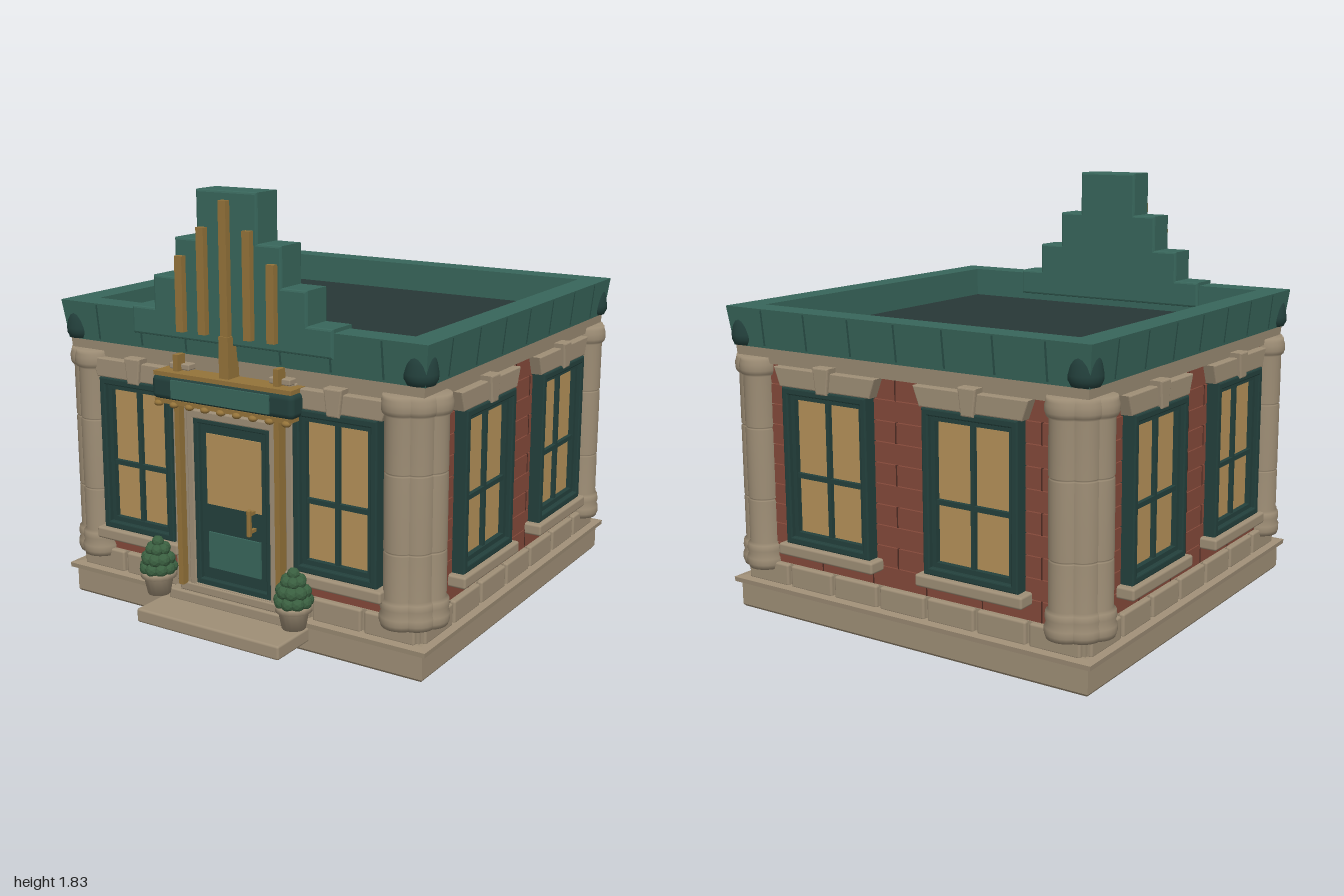
import * as THREE from 'three';
import { RoundedBoxGeometry } from 'three/addons/geometries/RoundedBoxGeometry.js';

const mat = (color, flatShading = false) => new THREE.MeshStandardMaterial({ color, flatShading });
const M = {
  stone: mat(0x9e8e76), stoneFlat: mat(0x9e8e76, true), brick: mat(0x84493a), joint: mat(0x4e2c24),
  green: mat(0x38665b), greenFlat: mat(0x38665b, true), seam: mat(0x2a5048), dark: mat(0x23403c),
  roof: mat(0x273836), glass: mat(0xb59159), gold: mat(0x94733a), leaf: mat(0x3a5f40, true),
};
const CZ = -0.085; // depth centre of the building
const WALL = 0.84; // half width of the brick walls

function add(parent, name, geo, material, x = 0, y = 0, z = 0) {
  const m = new THREE.Mesh(geo, material);
  m.name = name;
  m.position.set(x, y, z);
  parent.add(m);
  return m;
}
// Box given by its limits, optionally with rounded edges
function box(parent, name, material, x0, x1, y0, y1, z0, z1, round = 0) {
  const s = [x1 - x0, y1 - y0, z1 - z0];
  const geo = round ? new RoundedBoxGeometry(...s, 2, round) : new THREE.BoxGeometry(...s);
  return add(parent, name, geo, material, (x0 + x1) / 2, (y0 + y1) / 2, (z0 + z1) / 2);
}
// Square band swept from a profile of [half width, y]
function band(parent, name, material, pts) {
  const p = pts.map(([r, y]) => new THREE.Vector2(r * Math.SQRT2, y));
  return add(parent, name, new THREE.LatheGeometry(p, 4, Math.PI / 4), material);
}
const lathe = (pts, n = 24) => new THREE.LatheGeometry(pts.map(([r, y]) => new THREE.Vector2(r, y)), n);
function extrude(pts, depth, bevel = 0, hole = null) {
  const shape = new THREE.Shape(pts.map(p => new THREE.Vector2(...p)));
  if (hole) shape.holes.push(new THREE.Path(hole.map(p => new THREE.Vector2(...p))));
  return new THREE.ExtrudeGeometry(shape, { depth, bevelEnabled: bevel > 0, bevelSize: bevel, bevelThickness: bevel, bevelOffset: -bevel, bevelSegments: 2 });
}
const rect = (w, y0, y1) => [[-w, y0], [w, y0], [w, y1], [-w, y1]];

// Window with nested frame, glazing bars, sill, lintel and keystone
function makeWindow(x, w) {
  const g = new THREE.Group();
  g.name = 'window';
  g.position.x = x;
  add(g, 'outerFrame', extrude(rect(w, 0.345, 1.01), 0.055, 0.006, rect(w - 0.03, 0.375, 0.98)), M.dark, 0, 0, WALL - 0.005);
  add(g, 'innerFrame', extrude(rect(w - 0.028, 0.373, 0.982), 0.035, 0, rect(w - 0.05, 0.395, 0.96)), M.dark, 0, 0, WALL);
  box(g, 'glass', M.glass, -w + 0.03, w - 0.03, 0.375, 0.98, WALL - 0.01, WALL + 0.012);
  box(g, 'verticalBar', M.dark, -0.009, 0.009, 0.38, 0.97, WALL, WALL + 0.03);
  box(g, 'horizontalBar', M.dark, -w + 0.03, w - 0.03, 0.628, 0.648, WALL, WALL + 0.03);
  box(g, 'sill', M.stone, -w - 0.03, w + 0.03, 0.295, 0.345, WALL - 0.02, 0.915, 0.01);
  add(g, 'lintel', extrude([[-w - 0.015, 1.01], [w + 0.015, 1.01], [w + 0.045, 1.09], [-w - 0.045, 1.09]], 0.055, 0.005), M.stone, 0, 0, WALL - 0.01);
  add(g, 'keystone', extrude([[-0.028, 1.0], [0.028, 1.0], [0.042, 1.11], [-0.042, 1.11]], 0.07, 0.006), M.stone, 0, 0, WALL - 0.01);
  return g;
}

// One side of the building, facing local +z
function makeFacade(front) {
  const g = new THREE.Group();
  g.name = front ? 'frontFacade' : 'facade';
  const courses = 10, h = 0.86 / courses;
  for (let i = 0; i < courses; i++) {
    const y = 0.23 + i * h;
    box(g, 'brickCourse', M.brick, -0.8, 0.8, y + 0.002, y + h - 0.002, WALL - 0.03, WALL);
    if (!front) for (let x = -0.7 + (i % 2) * 0.13; x < 0.75; x += 0.27)
      box(g, 'brickJoint', M.joint, x - 0.003, x + 0.003, y, y + h, WALL - 0.01, WALL + 0.001);
  }
  for (const s of [-1, 1]) g.add(front ? makeWindow(s * 0.49, 0.19) : makeWindow(s * 0.358, 0.22));
  // Plinth stones
  for (let i = 0; i < 7; i++) {
    const x = -0.84 + i * 0.24;
    box(g, 'plinthBlock', M.stone, x + 0.008, x + 0.232, 0.135, 0.232, 0.8, 0.865, 0.01);
  }
  // Parapet seams, leaning with the parapet face
  for (let i = -3; i <= 3; i++)
    box(g, 'parapetSeam', M.seam, i * 0.23 - 0.004, i * 0.23 + 0.004, 1.165, 1.315, 0.862, 0.877).rotation.x = 0.11;
  return g;
}

// Cluster of three banded columns with a corner ornament above
function makeCorner(sx, sz) {
  const g = new THREE.Group();
  g.name = 'cornerColumns';
  const shaft = lathe([[0, 0.2], [0.078, 0.2], [0.085, 0.22], [0.085, 0.245], [0.078, 0.26], [0.083, 0.28], [0.08, 0.305], [0.07, 0.315],
    [0.07, 0.497], [0.066, 0.5], [0.066, 0.506], [0.07, 0.509], [0.07, 0.807], [0.066, 0.81], [0.066, 0.816], [0.07, 0.819],
    [0.07, 1.035], [0.08, 1.045], [0.085, 1.06], [0.085, 1.085], [0.08, 1.1], [0.078, 1.115], [0, 1.115]]);
  for (const [x, z] of [[0.755, 0.832], [0.805, 0.805], [0.832, 0.755]])
    add(g, 'column', shaft, M.stone, sx * x, 0, sz * z);
  const orn = lathe([[0, 1.155], [0.055, 1.158], [0.066, 1.18], [0.067, 1.2], [0.06, 1.24], [0.048, 1.285], [0, 1.305]], 20);
  add(g, 'cornerOrnament', orn, M.dark, sx * 0.825, 0, sz * 0.825);
  return g;
}

function makeEntrance() {
  const g = new THREE.Group();
  g.name = 'entrance';
  // Steps
  box(g, 'lowerStep', M.stone, -0.355, 0.355, 0.045, 0.105, 0.7, 1.0, 0.01);
  box(g, 'middleStep', M.stone, -0.32, 0.32, 0.1, 0.148, 0.7, 0.83, 0.008);
  box(g, 'topStep', M.stone, -0.27, 0.27, 0.145, 0.185, 0.7, 0.815, 0.008);
  // Door
  add(g, 'doorSurround', extrude(rect(0.22, 0.18, 0.935), 0.06, 0.005, rect(0.188, 0.17 + 0.02, 0.9)), M.stone, 0, 0, 0.745);
  add(g, 'doorFrame', extrude(rect(0.19, 0.185, 0.902), 0.055, 0.005, rect(0.165, 0.215, 0.88)), M.dark, 0, 0, 0.745);
  box(g, 'door', M.dark, -0.17, 0.17, 0.2, 0.89, 0.74, 0.785);
  box(g, 'doorGlass', M.glass, -0.135, 0.135, 0.54, 0.84, 0.78, 0.79);
  box(g, 'doorPanel', M.green, -0.13, 0.13, 0.265, 0.42, 0.78, 0.793);
  box(g, 'doorHandle', M.gold, 0.09, 0.108, 0.45, 0.565, 0.815, 0.835, 0.006);
  for (const y of [0.47, 0.545]) box(g, 'handleMount', M.gold, 0.092, 0.106, y - 0.007, y + 0.007, 0.78, 0.82);
  for (const s of [-1, 1]) {
    // Fluted pilaster and metal strip
    for (const [x, w, d] of [[0.25, 0.052, 0.785], [0.222, 0.016, 0.805], [0.278, 0.016, 0.805]])
      box(g, 'pilaster', M.stone, s * x - w, s * x + w, 0.18, 1.1, 0.73, d, 0.006);
    box(g, 'pilasterCapital', M.stone, s * 0.245 - 0.05, s * 0.245 + 0.05, 1.095, 1.12, 0.74, 0.815, 0.005);
    box(g, 'metalStrip', M.gold, s * 0.245 - 0.012, s * 0.245 + 0.012, 0.18, 1.16, 0.79, 0.838);
  }
  // Canopy with bulbs
  box(g, 'canopy', M.dark, -0.345, 0.345, 0.975, 1.078, 0.76, 0.875, 0.025);
  box(g, 'canopyPanel', M.green, -0.24, 0.24, 0.99, 1.065, 0.8, 0.88);
  box(g, 'canopyTop', M.gold, -0.335, 0.335, 1.074, 1.092, 0.76, 0.868);
  box(g, 'canopyTrim', M.gold, -0.33, 0.33, 0.962, 0.98, 0.76, 0.87);
  for (let i = -4; i <= 4; i++) {
    const b = add(g, 'bulb', new THREE.SphereGeometry(0.02, 12, 8), M.gold, i * 0.078, 0.96, 0.866);
    b.scale.set(1, 0.65, 0.9);
  }
  return g;
}

// Stepped crest with upright metal fins
function makeCrest() {
  const g = new THREE.Group();
  g.name = 'crest';
  const half = [[0.485, 1.22], [0.485, 1.335], [0.37, 1.335], [0.37, 1.47], [0.255, 1.47], [0.255, 1.63], [0.145, 1.63], [0.145, 1.825]];
  const pts = [...half, ...half.map(([x, y]) => [-x, y]).reverse()];
  add(g, 'steppedPanel', extrude(pts, 0.125, 0.009), M.green, 0, 0, 0.675);
  for (const [x, top] of [[-0.22, 1.56], [-0.11, 1.68], [0, 1.79], [0.11, 1.68], [0.22, 1.56]])
    box(g, 'fin', M.gold, x - 0.018, x + 0.018, 1.255, top, 0.8, 0.836);
  box(g, 'finBase', M.gold, -0.023, 0.023, 1.09, 1.26, 0.77, 0.842);
  return g;
}

// Potted topiary made of leafy tiers
function makePlant(x) {
  const g = new THREE.Group();
  g.name = 'pottedPlant';
  g.position.set(x, 0, 0.868);
  add(g, 'pot', lathe([[0, 0.135], [0.048, 0.135], [0.062, 0.205], [0.075, 0.21], [0.075, 0.232], [0.06, 0.236], [0, 0.232]], 16), M.stone);
  const leaf = new THREE.IcosahedronGeometry(0.03, 1);
  [[0.052, 0.25, 9], [0.044, 0.29, 8], [0.03, 0.33, 6], [0.0, 0.36, 1]].forEach(([r, y, n], t) => {
    for (let i = 0; i < n; i++) {
      const a = (i + t / 2) / n * Math.PI * 2;
      add(g, 'leafClump', leaf, M.leaf, r * Math.cos(a), y, r * Math.sin(a)).scale.setScalar(t > 1 ? 0.85 : 1);
    }
  });
  add(g, 'leafCore', new THREE.ConeGeometry(0.06, 0.14, 10), M.leaf, 0, 0.3, 0);
  return g;
}

export function createModel() {
  const root = new THREE.Group();
  root.name = 'building';
  const shell = new THREE.Group();
  shell.name = 'shell';
  shell.position.z = CZ;
  root.add(shell);

  // Foundation, wall core, frieze, parapet and roof
  band(shell, 'foundation', M.stoneFlat, [[0, 0], [0.865, 0], [0.872, 0.01], [0.872, 0.112], [0.893, 0.115], [0.895, 0.135], [0.86, 0.142], [0, 0.142]]);
  band(shell, 'plinth', M.stoneFlat, [[0, 0.135], [0.845, 0.135], [0.845, 0.232], [0, 0.232]]);
  box(shell, 'wallCore', M.joint, -0.825, 0.825, 0.23, 1.1, -0.825, 0.825);
  band(shell, 'frieze', M.stoneFlat, [[0.8, 1.09], [0.855, 1.09], [0.86, 1.155], [0.8, 1.155], [0.8, 1.09]]);
  band(shell, 'parapet', M.greenFlat, [[0.8, 1.155], [0.865, 1.155], [0.885, 1.32], [0.77, 1.32], [0.77, 1.15]]);
  box(shell, 'roof', M.roof, -0.78, 0.78, 1.1, 1.19, -0.78, 0.78);

  for (let i = 0; i < 4; i++) {
    const f = makeFacade(i === 0);
    f.rotation.y = i * Math.PI / 2;
    shell.add(f);
  }
  for (const sx of [-1, 1]) for (const sz of [-1, 1]) shell.add(makeCorner(sx, sz));
  root.add(makeEntrance(), makeCrest(), makePlant(-0.34), makePlant(0.34));
  return root;
}
